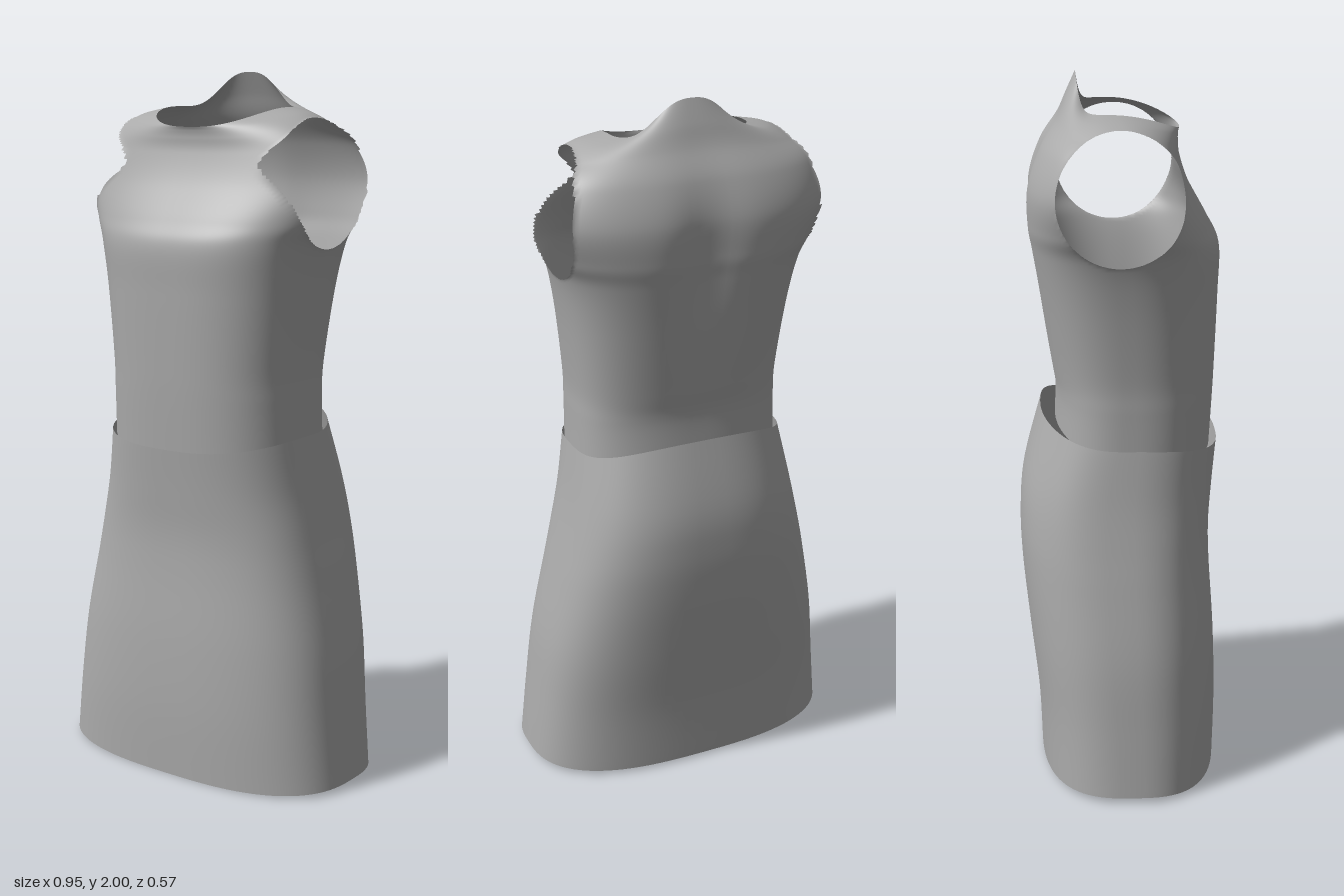
import * as THREE from 'three';

const fabric = new THREE.MeshStandardMaterial({ color: 0xaaaaaa, side: THREE.DoubleSide });
fabric.name = 'grey fabric';

// Ring: [yFront, ySide, yBack, halfWidth, zFront, zBack, zSide, squareness, backCurvePower]
const SKIRT = [
  [0.003, 0.02, 0.012, 0.475, 0.282, -0.232, 0.03, 2.75, 2],
  [0.2, 0.2, 0.2, 0.455, 0.286, -0.24, 0.02, 2.75, 2],
  [0.4, 0.4, 0.4, 0.43, 0.28, -0.262, 0.01, 2.75, 2],
  [0.6, 0.6, 0.6, 0.388, 0.266, -0.282, 0, 2.8, 2],
  [0.72, 0.72, 0.74, 0.361, 0.263, -0.287, 0, 2.8, 2],
  [0.84, 0.85, 0.87, 0.334, 0.272, -0.275, 0, 2.7, 2],
  [0.965, 1.0, 1.06, 0.309, 0.284, -0.225, 0.02, 2.6, 2],
];
const BODICE = [
  [0.95, 0.98, 1.03, 0.306, 0.262, -0.183, 0.02, 2.6, 2],
  [1.1, 1.1, 1.12, 0.304, 0.27, -0.18, 0.02, 2.6, 2],
  [1.2, 1.2, 1.2, 0.305, 0.274, -0.192, 0.02, 2.6, 2],
  [1.4, 1.4, 1.4, 0.326, 0.28, -0.227, 0.01, 2.6, 2],
  [1.53, 1.53, 1.53, 0.352, 0.281, -0.25, 0, 2.6, 2],
  [1.6, 1.6, 1.6, 0.39, 0.25, -0.26, 0, 2.6, 2],
  [1.7, 1.7, 1.7, 0.43, 0.195, -0.257, 0, 2.6, 2],
  [1.78, 1.8, 1.8, 0.4, 0.167, -0.222, 0, 2.6, 2],
  [1.82, 1.85, 1.88, 0.34, 0.163, -0.172, 0, 2.5, 3],
  [1.84, 1.885, 1.94, 0.275, 0.165, -0.145, -0.01, 2.4, 5],
  [1.85, 1.903, 2.0, 0.197, 0.169, -0.117, -0.03, 2.5, 6.5],
];

// Smooth blend through the rings, v in 0..1
function ringAt(rings, v) {
  const s = v * (rings.length - 1);
  const i = Math.min(Math.floor(s), rings.length - 2), f = s - i;
  const at = (k) => rings[THREE.MathUtils.clamp(k, 0, rings.length - 1)];
  const [a, b, c, d] = [at(i - 1), at(i), at(i + 1), at(i + 2)];
  return b.map((q, k) => q + 0.5 * f * (c[k] - a[k]
    + f * (2 * a[k] - 5 * q + 4 * c[k] - d[k] + f * (3 * (q - c[k]) + d[k] - a[k]))));
}

function pointOnRing([yF, yS, yB, w, zF, zB, zS, n, p], t) {
  const s = Math.sin(t), c = Math.cos(t);
  const x = w * Math.sign(s) * Math.abs(s) ** (2 / n);
  const reach = Math.abs(c) ** (2 / n);
  const z = zS + (c > 0 ? zF - zS : zB - zS) * reach;
  const y = yS + (c > 0 ? (yF - yS) * Math.abs(c) ** 1.6 : (yB - yS) * Math.abs(c) ** p);
  return new THREE.Vector3(x, y, z);
}

// Open tube of cloth; adjust(point) may move a point and returns true where the cloth is cut away
function cloth(name, rings, cols, rows, adjust = () => false) {
  const pos = [], cut = [], index = [];
  for (let j = 0; j <= rows; j++) {
    const ring = ringAt(rings, j / rows);
    for (let i = 0; i < cols; i++) {
      const pt = pointOnRing(ring, (i / cols) * Math.PI * 2);
      cut.push(adjust(pt));
      pos.push(pt.x, pt.y, pt.z);
    }
  }
  for (let j = 0; j < rows; j++) {
    for (let i = 0; i < cols; i++) {
      const a = j * cols + i, b = j * cols + (i + 1) % cols, c = b + cols, d = a + cols;
      for (const tri of [[a, b, c], [a, c, d]]) {
        if (!tri.every((k) => cut[k])) index.push(...tri);
      }
    }
  }
  const geo = new THREE.BufferGeometry();
  geo.setAttribute('position', new THREE.Float32BufferAttribute(pos, 3));
  geo.setIndex(index);
  geo.computeVertexNormals();
  const mesh = new THREE.Mesh(geo, fabric);
  mesh.name = name;
  return mesh;
}

// Hollow between the shoulder blades, and round armholes with points pulled to their rim
function tailorBodice(pt) {
  if (pt.z < 0) {
    pt.z += 0.027 * Math.exp(-((pt.x / 0.09) ** 2)) * Math.exp(-(((pt.y - 1.6) / 0.2) ** 2));
  }
  const dz = (pt.z + 0.003) / 0.172, dy = (pt.y - 1.699) / 0.177;
  const r = Math.hypot(dz, dy);
  if (Math.abs(pt.x) < 0.2 || r >= 1) return false;
  const k = 1 / Math.max(r, 0.001);
  pt.z = -0.003 + dz * k * 0.172;
  pt.y = 1.699 + dy * k * 0.177;
  return true;
}

export function createModel() {
  const dress = new THREE.Group();
  dress.name = 'sleevelessDress';
  dress.add(cloth('skirt', SKIRT, 96, 36));
  dress.add(cloth('bodice', BODICE, 160, 110, tailorBodice));
  return dress;
}
